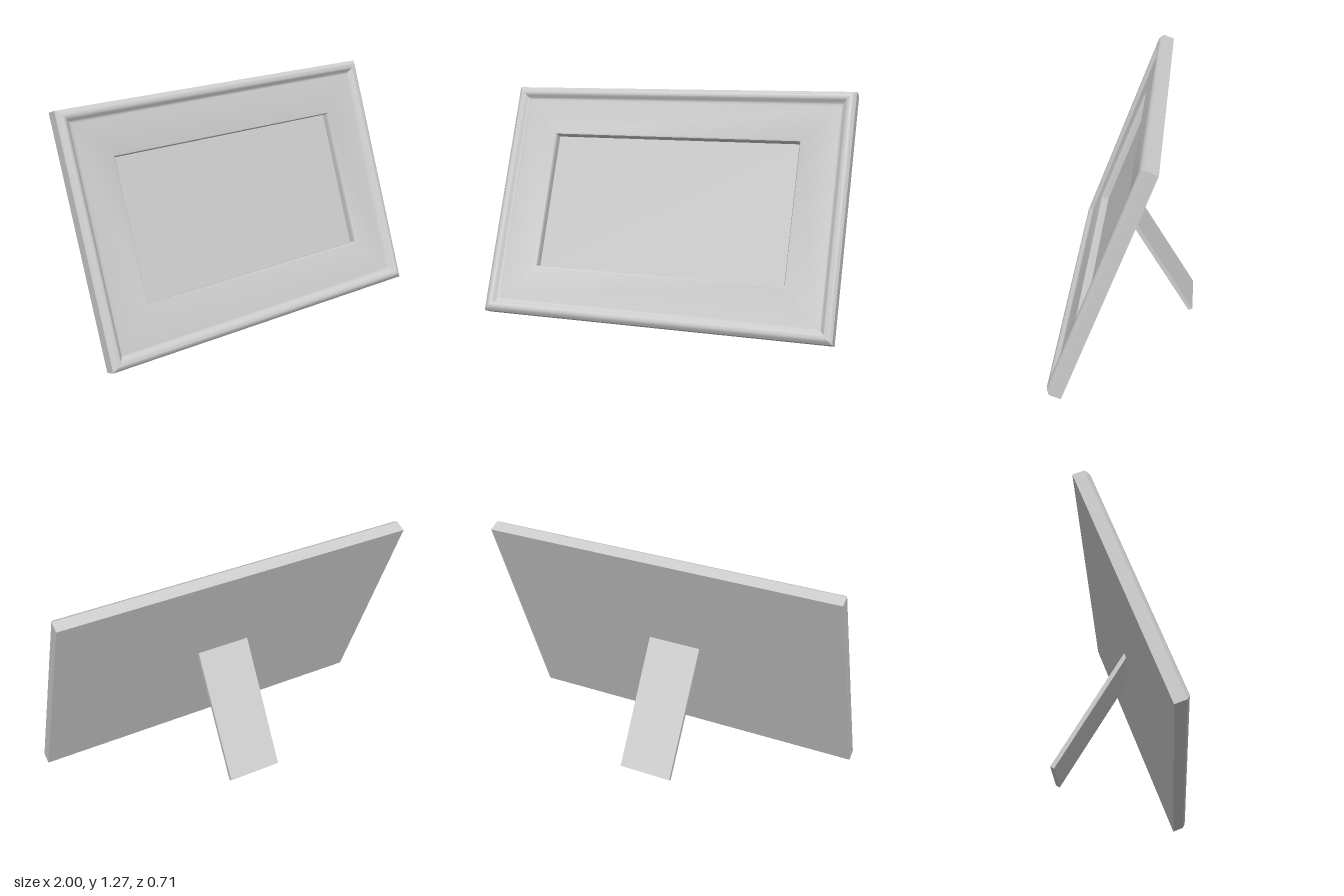
import * as THREE from 'three';
import { toCreasedNormals } from 'three/addons/utils/BufferGeometryUtils.js';

const WIDTH = 2, HEIGHT = 1.333;
const material = new THREE.MeshStandardMaterial({ color: 0xcccccc });

// Mitred rectangular rings swept through [inset, depth] points, closed by a flat panel at each end
function mitredRings(profile) {
  const positions = [], indices = [];
  for (const [inset, depth] of profile) {
    const x = WIDTH / 2 - inset, low = inset, high = HEIGHT - inset;
    positions.push(-x, low, depth, x, low, depth, x, high, depth, -x, high, depth);
  }
  for (let i = 0; i < profile.length - 1; i++) {
    for (let j = 0; j < 4; j++) {
      const a = i * 4 + j, b = i * 4 + (j + 1) % 4;
      indices.push(a, b, b + 4, a, b + 4, a + 4);
    }
  }
  const last = (profile.length - 1) * 4;
  indices.push(0, 2, 1, 0, 3, 2);
  indices.push(last, last + 1, last + 2, last, last + 2, last + 3);
  const geometry = new THREE.BufferGeometry();
  geometry.setAttribute('position', new THREE.Float32BufferAttribute(positions, 3));
  geometry.setIndex(indices);
  return toCreasedNormals(geometry, 0.6);
}

export function createModel() {
  const group = new THREE.Group();
  group.name = 'pictureFrame';

  // Leaning frame: side wall, rounded rim, flat mat, rounded opening edge, recessed picture panel
  const frame = new THREE.Mesh(mitredRings([
    [0, 0], [0, 0.064],
    [0.012, 0.078], [0.024, 0.086], [0.034, 0.087], [0.044, 0.084],
    [0.054, 0.075], [0.062, 0.066], [0.07, 0.061], [0.08, 0.06],
    [0.27, 0.06], [0.277, 0.057], [0.281, 0.05], [0.282, 0.042], [0.282, 0.015],
  ]), material);
  frame.name = 'frame';
  frame.rotation.x = -0.365;
  frame.position.set(0, 0, 0.285);
  group.add(frame);

  // Back support leg
  const leg = new THREE.Mesh(new THREE.BoxGeometry(0.305, 0.75, 0.024), material);
  leg.name = 'supportLeg';
  leg.rotation.x = 0.538;
  leg.position.set(-0.007, 0.336, -0.153);
  group.add(leg);

  return group;
}
